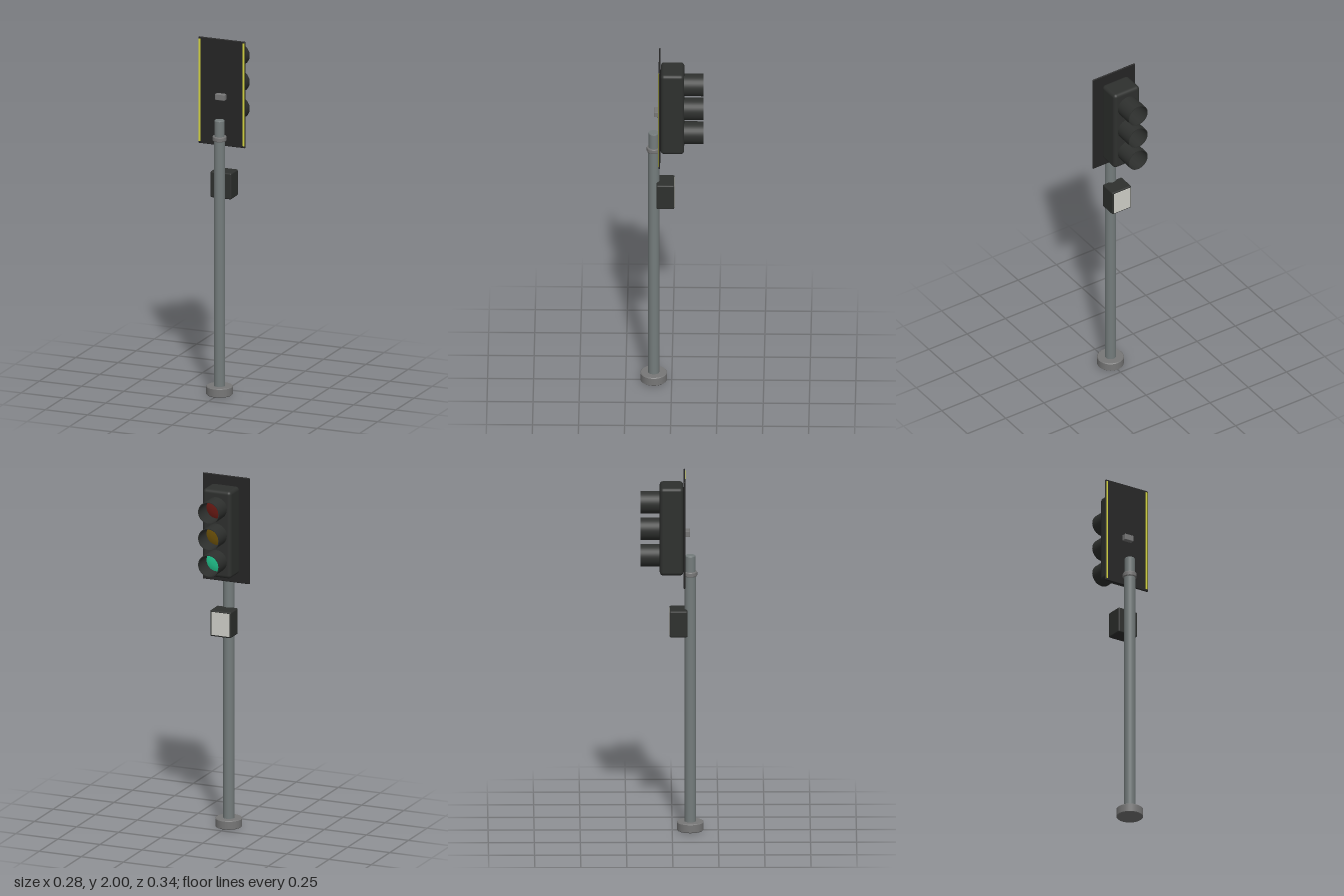
import * as THREE from 'three';
import { RoundedBoxGeometry } from 'three/addons/geometries/RoundedBoxGeometry.js';

const POLE_Z = 0.098;

const mat = (color, side = THREE.FrontSide) =>
  new THREE.MeshStandardMaterial({ color, side });

export function createModel() {
  const model = new THREE.Group();
  model.name = 'trafficSignal';

  const steel = mat(0x747c7c);
  const castGrey = mat(0x777777);
  const black = mat(0x2e302e);
  const plateBlack = mat(0x252525);
  const visorBlack = mat(0x2e302e, THREE.DoubleSide);
  const yellow = mat(0xd8d840);

  const add = (name, geometry, material, x, y, z, parent = model) => {
    const mesh = new THREE.Mesh(geometry, material);
    mesh.name = name;
    mesh.position.set(x, y, z);
    parent.add(mesh);
    return mesh;
  };

  // Turned part around the pole axis, with creased edges at repeated points
  const turned = (name, points, material) => {
    const profile = [];
    for (let i = 0; i < points.length - 1; i++) {
      const g = new THREE.LatheGeometry(
        [points[i], points[i + 1]].map(([r, y]) => new THREE.Vector2(r, y)), 40);
      profile.push(g);
    }
    const group = new THREE.Group();
    group.name = name;
    group.position.z = POLE_Z;
    profile.forEach((g) => add(name + 'Surface', g, material, 0, 0, 0, group));
    model.add(group);
  };

  // Foot, pole, collar and top spigot
  turned('baseFlange', [[0, 0], [0.069, 0], [0.073, 0.004], [0.073, 0.046], [0.069, 0.05], [0, 0.05]], castGrey);
  turned('pole', [[0.031, 0.04], [0.031, 1.445]], steel);
  turned('collar', [[0.03, 1.434], [0.036, 1.434], [0.038, 1.438], [0.038, 1.456], [0.036, 1.46], [0.026, 1.46]], castGrey);
  turned('poleTop', [[0.028, 1.45], [0.028, 1.546], [0.026, 1.55], [0, 1.55]], steel);

  // Backing plate with reflective edge strips
  add('backPlate', new RoundedBoxGeometry(0.278, 0.602, 0.009, 3, 0.004), plateBlack, 0, 1.699, 0.066);
  for (const s of [-1, 1]) {
    add('edgeStrip', new THREE.BoxGeometry(0.011, 0.58, 0.002), yellow, s * 0.129, 1.7, 0.071);
  }
  add('mountBracket', new RoundedBoxGeometry(0.056, 0.034, 0.034, 2, 0.003), castGrey, 0, 1.677, 0.079);

  // Signal housing
  add('housing', new RoundedBoxGeometry(0.168, 0.495, 0.128, 5, 0.02), black, 0, 1.7025, -0.004);

  // Three lamps, each a tunnel visor with a shallow domed lens
  const visorProfile = [[0.058, 0], [0.062, 0], [0.062, 0.112], [0.058, 0.112], [0.058, 0]]
    .map(([r, y]) => new THREE.Vector2(r, y));
  const lensProfile = [[0.058, 0], [0.045, 0.005], [0.025, 0.009], [0, 0.01]]
    .map(([r, y]) => new THREE.Vector2(r, y));
  [['red', 0x6a1a14, 1.85], ['amber', 0x6e5208, 1.7], ['green', 0x22c890, 1.55]].forEach(([name, color, y]) => {
    const lamp = new THREE.Group();
    lamp.name = name + 'Lamp';
    lamp.position.set(0, y, -0.061);
    lamp.rotation.x = -Math.PI / 2;
    model.add(lamp);
    for (let i = 0; i < 4; i++) {
      add('visor', new THREE.LatheGeometry(visorProfile.slice(i, i + 2), 40), visorBlack, 0, 0, 0, lamp);
    }
    add('lens', new THREE.LatheGeometry(lensProfile, 40), mat(color, THREE.DoubleSide), 0, 0.008, 0, lamp);
  });

  // Pedestrian indicator box on the pole
  add('indicatorBox', new RoundedBoxGeometry(0.124, 0.148, 0.098, 4, 0.008), black, 0, 1.176, 0.034);
  add('indicatorFace', new THREE.BoxGeometry(0.106, 0.13, 0.003), mat(0xcfcfc8), 0, 1.176, -0.0155);

  return model;
}
